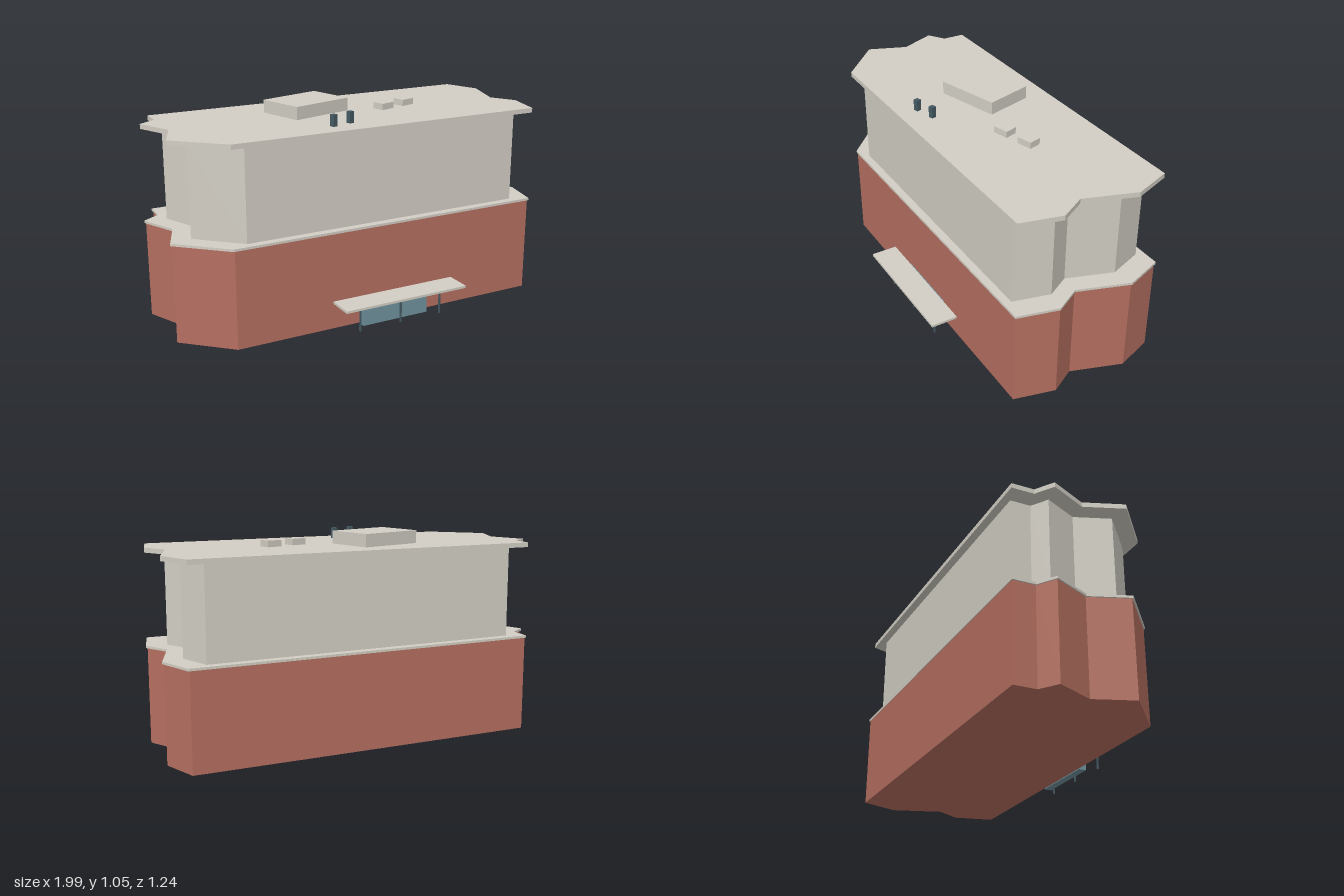
import * as THREE from 'three';

const mat = (color) => new THREE.MeshStandardMaterial({ color });

// Building footprint as x, z corners
const FOOTPRINT = [
  [-0.76, -0.615], [0.97, -0.143], [0.985, 0.057], [0.832, 0.277],
  [0.867, 0.418], [0.763, 0.6], [-0.83, 0.152], [-0.99, -0.11],
  [-0.865, -0.275], [-0.893, -0.475], [-0.793, -0.507],
];
const ENTRANCE_ANGLE = -0.275; // entrance runs parallel to the slanted front wall

export function createModel() {
  const model = new THREE.Group();
  model.name = 'building';
  const brick = mat(0xb56f60);
  const stone = mat(0xd2cec4);
  const glass = mat(0x6f919b);
  const metal = mat(0x455a64);

  const add = (parent, name, geometry, material) => {
    const mesh = new THREE.Mesh(geometry, material);
    mesh.name = name;
    parent.add(mesh);
    return mesh;
  };

  // Vertical prism over the scaled footprint
  const storey = (name, scale, y0, y1, material) => {
    const shape = new THREE.Shape(
      FOOTPRINT.map(([x, z]) => new THREE.Vector2(x * scale, -z * scale)));
    const geometry = new THREE.ExtrudeGeometry(shape, { depth: y1 - y0, bevelEnabled: false });
    geometry.rotateX(-Math.PI / 2).translate(0, y0, 0);
    add(model, name, geometry, material);
  };

  // Box standing on y0
  const box = (parent, name, [w, h, d], [x, y0, z], material) => {
    add(parent, name, new THREE.BoxGeometry(w, h, d), material).position.set(x, y0 + h / 2, z);
  };

  // Main volumes
  storey('lowerStorey', 1, 0, 0.486, brick);
  storey('ledge', 1.008, 0.486, 0.498, stone);
  storey('upperStorey', 0.9, 0.498, 0.958, stone);
  storey('roofSlab', 1, 0.958, 0.982, stone);

  // Rooftop equipment
  const roof = 0.982;
  box(model, 'plantRoom', [0.34, 0.065, 0.252], [-0.13, roof, -0.143], stone);
  for (const x of [0.21, 0.36]) {
    box(model, 'roofUnit', [0.08, 0.032, 0.064], [x, roof, 0.073], stone);
  }
  for (const x of [-0.26, -0.153]) {
    box(model, 'ventPipe', [0.025, 0.057, 0.025], [x, roof, 0.2], metal);
  }

  // Entrance: canopy, posts and glazed lobby, in the slanted wall's own axes
  const entrance = new THREE.Group();
  entrance.name = 'entrance';
  entrance.position.set(-0.058, 0, 0.463);
  entrance.rotation.y = ENTRANCE_ANGLE;
  model.add(entrance);
  box(entrance, 'canopy', [0.678, 0.012, 0.135], [0, 0.14, 0], stone);
  for (const x of [-0.228, 0, 0.228]) {
    box(entrance, 'canopyPost', [0.008, 0.14, 0.008], [x, 0, 0], metal);
  }
  box(entrance, 'glassLobby', [0.367, 0.13, 0.04], [-0.003, 0, -0.064], glass);

  return model;
}
